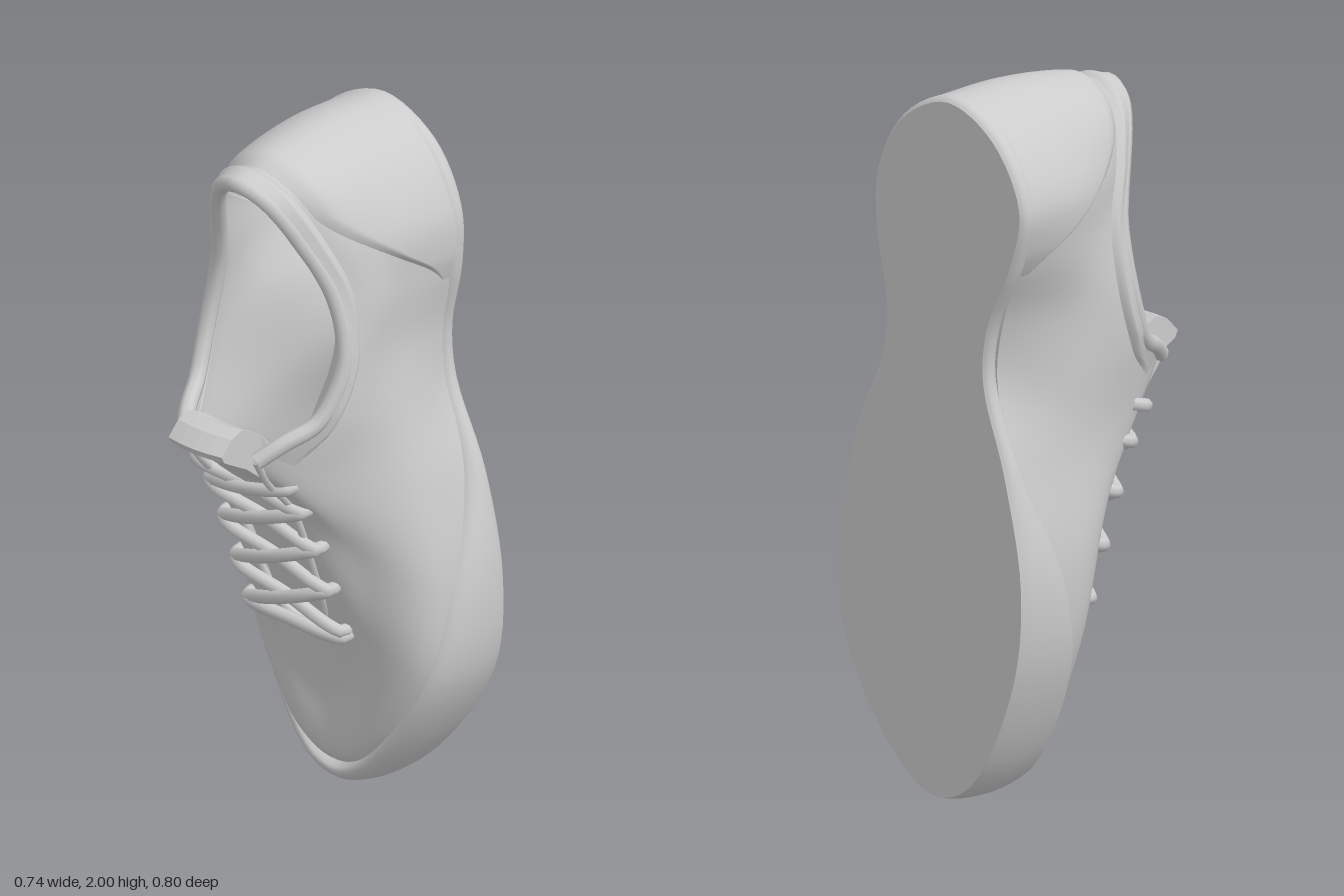
import * as THREE from 'three';

const grey = new THREE.MeshStandardMaterial({ color: 0xcccccc, side: THREE.DoubleSide });

// Rings run from the toe up the right side, round the heel and down the left side.
const ring = (pts) => new THREE.CatmullRomCurve3(pts.map((p) => new THREE.Vector3(...p)), true);

const baseRing = ring([
  [-0.03, 0.07, -0.36], [-0.15, 0.12, -0.36], [-0.3, 0.4, -0.36], [-0.33, 0.68, -0.36], [-0.275, 0.98, -0.355],
  [-0.21, 1.22, -0.35], [-0.235, 1.39, -0.35], [-0.31, 1.56, -0.36], [-0.345, 1.73, -0.37], [-0.24, 1.9, -0.37],
  [-0.07, 1.98, -0.37], [0.1, 1.9, -0.37], [0.198, 1.73, -0.37], [0.205, 1.57, -0.36], [0.18, 1.38, -0.35],
  [0.19, 1.22, -0.35], [0.275, 0.98, -0.355], [0.33, 0.68, -0.36], [0.3, 0.4, -0.36], [0.1, 0.12, -0.36]]);
const midRing = ring([
  [-0.03, 0.09, -0.145], [-0.15, 0.14, -0.145], [-0.3, 0.42, -0.14], [-0.335, 0.7, -0.13], [-0.3, 1.0, -0.12],
  [-0.295, 1.2, -0.14], [-0.3, 1.4, -0.15], [-0.33, 1.58, -0.18], [-0.335, 1.74, -0.17], [-0.22, 1.92, -0.16],
  [-0.07, 1.987, -0.15], [0.08, 1.92, -0.16], [0.195, 1.74, -0.17], [0.205, 1.58, -0.18], [0.2, 1.4, -0.15],
  [0.23, 1.2, -0.15], [0.27, 1.0, -0.14], [0.315, 0.7, -0.15], [0.29, 0.42, -0.15], [0.1, 0.14, -0.145]]);
const shoulderRing = ring([
  [-0.05, 0.3, -0.115], [-0.15, 0.37, -0.095], [-0.23, 0.58, -0.045], [-0.26, 0.82, 0.02], [-0.26, 1.04, 0.1],
  [-0.3, 1.22, 0.03], [-0.31, 1.41, -0.03], [-0.3, 1.59, -0.04], [-0.275, 1.76, 0.01], [-0.195, 1.9, 0.06],
  [-0.066, 1.96, 0.08], [0.07, 1.9, 0.06], [0.155, 1.76, 0.01], [0.2, 1.59, -0.04], [0.205, 1.41, -0.03],
  [0.2, 1.22, 0.03], [0.15, 1.04, 0.1], [0.16, 0.82, 0.0], [0.15, 0.58, -0.055], [0.05, 0.37, -0.1]]);
const topRing = ring([
  [-0.06, 0.52, -0.07], [-0.14, 0.56, -0.05], [-0.17, 0.75, 0.03], [-0.18, 0.97, 0.13], [-0.185, 1.16, 0.29],
  [-0.275, 1.25, 0.14], [-0.295, 1.41, 0.07], [-0.265, 1.6, 0.06], [-0.215, 1.76, 0.12], [-0.15, 1.88, 0.18],
  [-0.065, 1.92, 0.205], [0.02, 1.88, 0.18], [0.09, 1.76, 0.12], [0.155, 1.6, 0.06], [0.19, 1.41, 0.06],
  [0.16, 1.25, 0.14], [0.07, 1.16, 0.28], [0.06, 0.97, 0.13], [0.05, 0.75, 0.03], [0.02, 0.56, -0.05]]);
// x, y and the height of the sole's top edge
const soleRing = ring([
  [-0.03, 0.005, -0.135], [-0.17, 0.065, -0.135], [-0.335, 0.38, -0.15], [-0.367, 0.66, -0.21], [-0.3, 0.98, -0.32],
  [-0.22, 1.22, -0.34], [-0.235, 1.37, -0.34], [-0.325, 1.56, -0.335], [-0.36, 1.73, -0.33], [-0.255, 1.91, -0.33],
  [-0.07, 1.993, -0.33], [0.115, 1.91, -0.33], [0.213, 1.74, -0.33], [0.218, 1.57, -0.335], [0.18, 1.37, -0.34],
  [0.195, 1.22, -0.34], [0.3, 0.98, -0.32], [0.367, 0.66, -0.21], [0.335, 0.38, -0.15], [0.11, 0.065, -0.135]]);

// Surface over u (around) and v (upward), faces outward
function grid(f, nu, nv, closed = false) {
  const pos = [], index = [], cols = closed ? nu : nu + 1;
  for (let j = 0; j <= nv; j++)
    for (let i = 0; i < cols; i++) pos.push(...f(i / nu, j / nv).toArray());
  for (let j = 0; j < nv; j++)
    for (let i = 0; i < nu; i++) {
      const i2 = (i + 1) % cols;
      const a = j * cols + i, b = j * cols + i2, c = a + cols, d = b + cols;
      index.push(a, c, b, b, c, d);
    }
  const g = new THREE.BufferGeometry();
  g.setAttribute('position', new THREE.Float32BufferAttribute(pos, 3));
  g.setIndex(index);
  g.computeVertexNormals();
  return g;
}

const upperPoint = (u, v) => new THREE.CatmullRomCurve3(
  [baseRing, midRing, shoulderRing, topRing].map((r) => r.getPoint(u))).getPoint(v);

function upperOffset(u, v, d) {
  const p = upperPoint(u, v), e = 0.004;
  const du = upperPoint(u + e, v).sub(upperPoint(u - e, v));
  const dv = upperPoint(u, Math.min(1, v + e)).sub(upperPoint(u, Math.max(0, v - e)));
  return p.addScaledVector(dv.cross(du).normalize(), d);
}

// Point of the sole wall, moved inward from the outline
function solePoint(u, inset, t) {
  const p = soleRing.getPoint(u), tan = soleRing.getTangent(u);
  const n = new THREE.Vector3(tan.y, -tan.x, 0).normalize();
  const z = -0.4 + t * (p.z + 0.4);
  return new THREE.Vector3(p.x, p.y, z).addScaledVector(n, inset);
}

const smooth = (pts) => new THREE.CatmullRomCurve3(pts);
const tube = (pts, r, n) => new THREE.TubeGeometry(smooth(pts), n, r, 8);

export function createModel() {
  const shoe = new THREE.Group();
  shoe.name = 'shoe';
  const add = (name, geometry, parent = shoe) => {
    const m = new THREE.Mesh(geometry, grey);
    m.name = name;
    parent.add(m);
    return m;
  };

  // Upper and heel counter
  add('upper', grid(upperPoint, 120, 24, true));
  add('heelCounter', grid((s, t) => {
    const u = 0.335 + 0.33 * s;
    const rise = THREE.MathUtils.smoothstep(Math.min(s, 1 - s), -0.04, 0.28);
    const edge = Math.min(1, (1 - t) * 6, s * 14, (1 - s) * 14);
    return upperOffset(u, t * 0.82 * rise, 0.016 * edge - 0.003);
  }, 60, 24));

  // Sole wall with rounded edges, flat bottom and insole
  const wall = smooth([[0.014, 0], [0.004, 0.15], [0, 0.45], [0.008, 0.72], [0.03, 0.94], [0.055, 1], [0.08, 0.93]]
    .map(([a, b]) => new THREE.Vector3(a, b, 0)));
  add('soleWall', grid((u, v) => {
    const q = wall.getPoint(v);
    return solePoint(u, q.x, q.y);
  }, 120, 18, true));
  const flat = (point, sx) => new THREE.ShapeGeometry(new THREE.Shape(
    Array.from({ length: 120 }, (_, i) => {
      const p = point(i / 120);
      return new THREE.Vector2(p.x * sx, p.y);
    })));
  add('soleBottom', flat((u) => solePoint(u, 0.014, 0), -1).rotateY(Math.PI).translate(0, 0, -0.4));
  add('insole', flat((u) => upperPoint(u, 0), 1).translate(0, 0, -0.345));

  // Padded collar band with a rolled rim, and edge of the throat
  add('collarBand', grid((s, t) => {
    const edge = Math.min(1, t * 4, s * 10, (1 - s) * 10);
    return upperOffset(0.205 + 0.59 * s, 0.82 + 0.18 * t, 0.022 * edge - 0.002);
  }, 80, 8));
  const collar = [], throat = [];
  for (let i = 4; i <= 16; i += 0.5) collar.push(topRing.getPoint(i / 20));
  for (let i = 16; i <= 24; i += 0.5) throat.push(topRing.getPoint((i % 20) / 20));
  add('collarRim', tube(collar, 0.024, 90));
  add('throatEdge', tube(throat, 0.012, 60));

  // Tongue: a side profile (z, y) swept across the width
  const profile = [[-0.1, 0.46], [-0.06, 0.58], [0.02, 0.77], [0.09, 0.93], [0.2, 1.05], [0.3, 1.13], [0.39, 1.18],
    [0.4, 1.2], [0.36, 1.24], [0.32, 1.255], [0.25, 1.22], [0.14, 1.1], [0.04, 0.95], [-0.04, 0.77], [-0.12, 0.56]];
  const tongue = new THREE.ExtrudeGeometry(
    new THREE.Shape(profile.map(([z, y]) => new THREE.Vector2(-z, y))),
    { depth: 0.195, steps: 4, bevelEnabled: false }).rotateY(Math.PI / 2).translate(-0.0975, 0, 0);
  const tp = tongue.attributes.position;
  for (let i = 0; i < tp.count; i++) {
    const x = tp.getX(i), y = tp.getY(i);
    tp.setZ(i, tp.getZ(i) - 1.2 * x * x);
    tp.setX(i, x * (y < 1.0 ? 1.25 : 1) - 0.055);
  }
  tongue.computeVertexNormals();
  add('tongue', tongue);

  // Laces: one straight bar, then crossing pairs up the throat
  const laces = new THREE.Group();
  laces.name = 'laces';
  shoe.add(laces);
  const rows = [[0.55, -0.025], [0.69, 0.025], [0.83, 0.075], [0.96, 0.13], [1.05, 0.185]];
  const lace = (y0, z0, y1, z1, side, lift) => {
    const mid = -0.075, w = 0.172 * side;
    const P = (k, y, z) => new THREE.Vector3(mid + w * k, y, z);
    add('lace', tube([
      P(-0.98, y0 + 0.015, z0 - 0.065), P(-1, y0, z0 - 0.01), P(-0.8, y0 + (y1 - y0) * 0.1, z0 + 0.008),
      P(0, (y0 + y1) / 2, (z0 + z1) / 2 + lift),
      P(0.8, y1 - (y1 - y0) * 0.1, z1 + 0.008), P(1, y1, z1 - 0.01), P(0.98, y1 + 0.015, z1 - 0.065)], 0.019, 32), laces);
  };
  lace(0.55, -0.025, 0.53, -0.03, 1, 0.01);
  for (let i = 0; i < rows.length - 1; i++)
    for (const side of [-1, 1])
      lace(...rows[i], ...rows[i + 1], side, side > 0 ? 0.03 : 0);

  return shoe;
}
